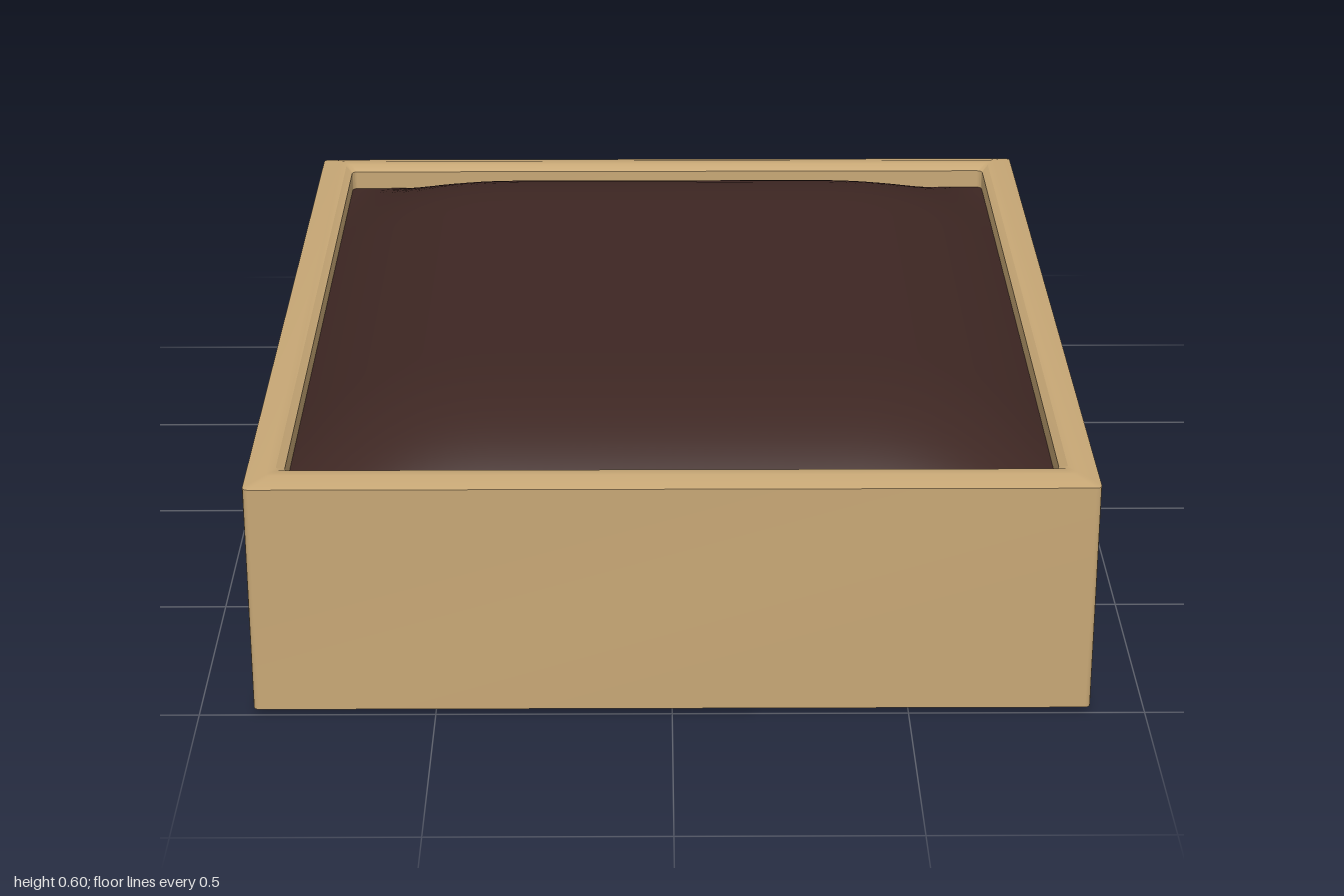
import * as THREE from 'three';
import { toCreasedNormals } from 'three/addons/utils/BufferGeometryUtils.js';

const wood = new THREE.MeshStandardMaterial({ color: 0xc8a876 });
const earth = new THREE.MeshStandardMaterial({ color: 0x3e2723, side: THREE.DoubleSide });

// Skin a stack of rounded rectangles [halfX, halfZ, y], capped at both ends
function loftRectangles(sections, radius = 0.012, steps = 3) {
  const pos = [], index = [];
  const n = 4 * (steps + 1);
  for (const [hx, hz, y] of sections) {
    for (let c = 0; c < 4; c++) {
      const sx = c === 0 || c === 3 ? 1 : -1, sz = c < 2 ? 1 : -1;
      for (let s = 0; s <= steps; s++) {
        const a = (c + s / steps) * Math.PI / 2;
        pos.push(sx * (hx - radius) + radius * Math.cos(a), y, sz * (hz - radius) + radius * Math.sin(a));
      }
    }
  }
  for (let r = 0; r < sections.length - 1; r++) {
    for (let i = 0; i < n; i++) {
      const a = r * n + i, b = r * n + (i + 1) % n;
      index.push(a, a + n, b, b, a + n, b + n);
    }
  }
  const last = (sections.length - 1) * n;
  for (let i = 1; i < n - 1; i++) {
    index.push(0, i, i + 1);
    index.push(last, last + i + 1, last + i);
  }
  const geo = new THREE.BufferGeometry();
  geo.setAttribute('position', new THREE.Float32BufferAttribute(pos, 3));
  geo.setIndex(index);
  return toCreasedNormals(geo, 0.6);
}

export function createModel() {
  const model = new THREE.Group();

  // Open box: bevelled foot, outer walls, bevelled rim, inner walls and floor
  const box = new THREE.Mesh(loftRectangles([
    [0.84, 0.955, 0],
    [0.885, 1, 0.013],
    [0.885, 1, 0.525],
    [0.84, 0.955, 0.537],
    [0.822, 0.93, 0.537],
    [0.806, 0.908, 0.525],
    [0.806, 0.908, 0.06],
  ]), wood);
  box.name = 'planterBox';
  model.add(box);

  // Soil: rises from the walls to a flat crown
  const halfX = 0.808, halfZ = 0.91, edgeY = 0.48, rise = 0.12, slope = 0.45;
  const swell = d => 1 - Math.pow(1 - Math.min(Math.max(d / slope, 0), 1), 2.4);
  const soilGeo = new THREE.PlaneGeometry(halfX * 2, halfZ * 2, 48, 48).rotateX(-Math.PI / 2);
  const p = soilGeo.attributes.position;
  for (let i = 0; i < p.count; i++) {
    p.setY(i, edgeY + rise * swell(halfX - Math.abs(p.getX(i))) * swell(halfZ - Math.abs(p.getZ(i))));
  }
  soilGeo.computeVertexNormals();
  const soil = new THREE.Mesh(soilGeo, earth);
  soil.name = 'soilMound';
  model.add(soil);

  return model;
}
